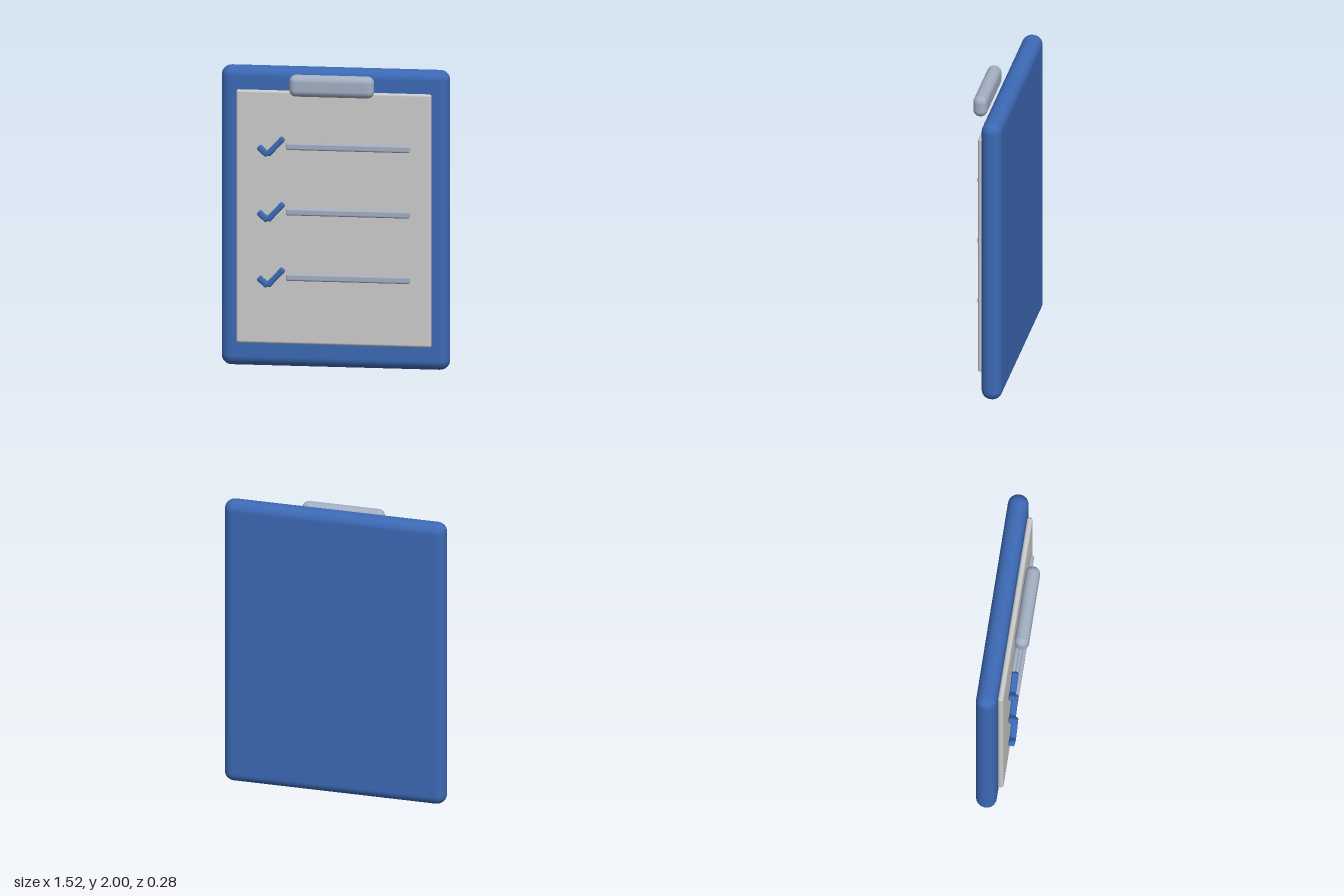
import * as THREE from 'three';
import { RoundedBoxGeometry } from 'three/addons/geometries/RoundedBoxGeometry.js';

const blue = new THREE.MeshStandardMaterial({ color: 0x3c69b5 });
const steel = new THREE.MeshStandardMaterial({ color: 0xa3afc2 });
const grey = new THREE.MeshStandardMaterial({ color: 0xcccccc });

// Rounded slab of a given size, centred on a point
function slab(name, material, size, radius, position, angle = 0) {
  const mesh = new THREE.Mesh(new RoundedBoxGeometry(...size, 5, radius), material);
  mesh.name = name;
  mesh.position.set(...position);
  mesh.rotation.z = angle;
  return mesh;
}

export function createModel() {
  const group = new THREE.Group();
  group.name = 'clipboard';

  // Backing board, sheet of paper and the clip at the top
  group.add(
    slab('board', blue, [1.52, 2, 0.137], 0.066, [0, 1, -0.0735]),
    slab('paper', grey, [1.3, 1.69, 0.037], 0.016, [0, 1.005, 0.0125]),
    slab('clip', steel, [0.565, 0.145, 0.094], 0.045, [-0.002, 1.899, 0.093])
  );

  // Three checklist rows: a written line and a two-stroke tick
  for (let i = 0; i < 3; i++) {
    const row = new THREE.Group();
    row.name = `checklistRow${i + 1}`;
    row.position.y = 1.484 - i * 0.437;
    row.add(
      slab('line', steel, [0.825, 0.047, 0.027], 0.012, [0.098, 0, 0.047]),
      slab('tickLongStroke', blue, [0.155, 0.038, 0.043], 0.012, [-0.382, 0, 0.062], 0.82),
      slab('tickShortStroke', blue, [0.085, 0.038, 0.043], 0.012, [-0.464, -0.031, 0.062], -0.75)
    );
    group.add(row);
  }
  return group;
}
